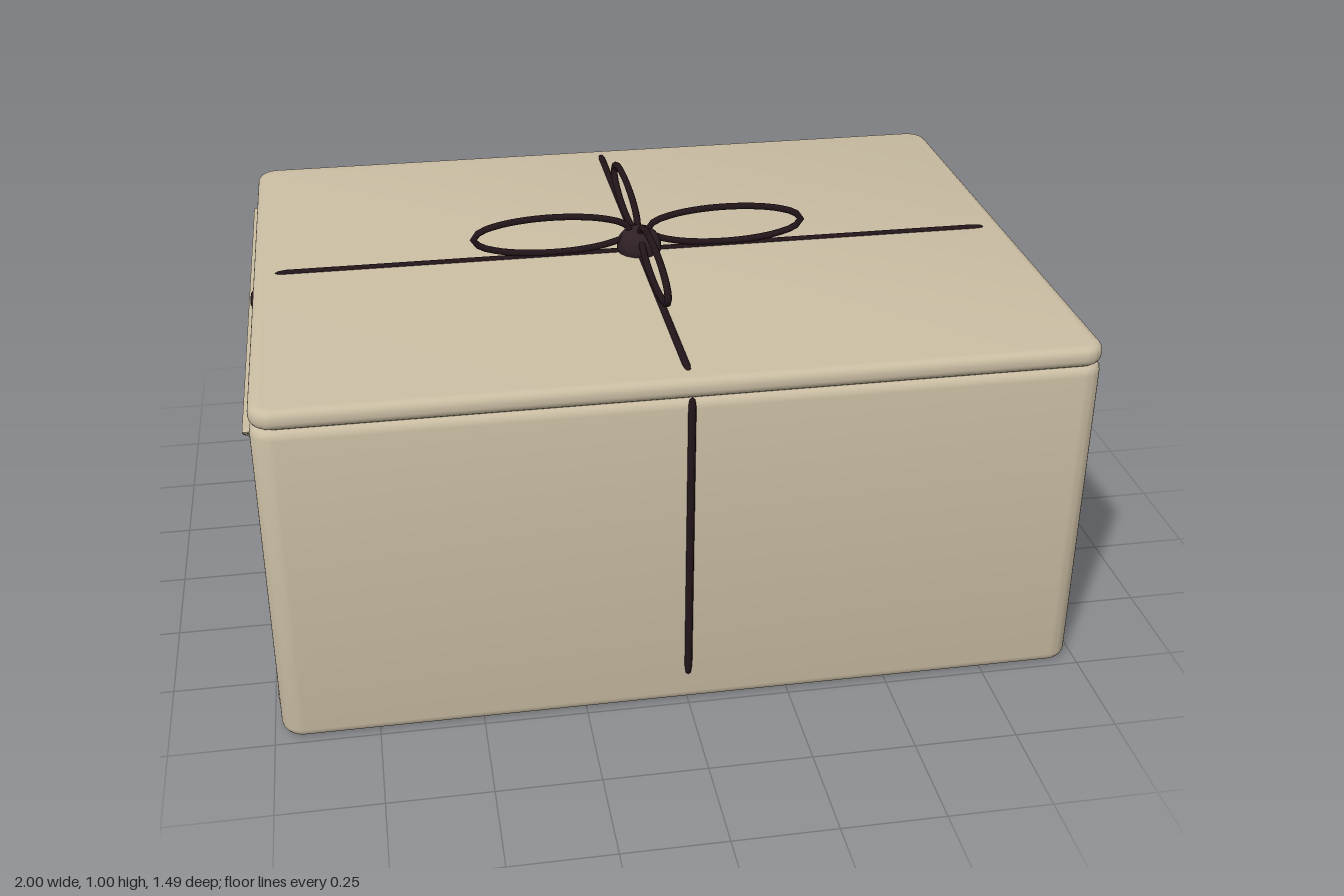
import * as THREE from 'three';
import { toCreasedNormals } from 'three/addons/utils/BufferGeometryUtils.js';

export function createModel() {
  const root = new THREE.Group();
  root.name = 'wrappedParcel';

  const mat = (name, color) => {
    const m = new THREE.MeshStandardMaterial({ color });
    m.name = name;
    return m;
  };
  const paper = mat('kraftPaper', 0xcabda3);
  const twine = mat('darkTwine', 0x22151a);
  const knotColor = mat('knotTwine', 0x2e2024);

  const add = (name, geometry, material) => {
    const mesh = new THREE.Mesh(geometry, material);
    mesh.name = name;
    root.add(mesh);
    return mesh;
  };

  // Slab with rounded corners in plan and rounded top and bottom edges
  const slab = (w, d, y0, y1, r, bevel) => {
    const x = w / 2 - bevel, z = d / 2 - bevel, c = r - bevel;
    const s = new THREE.Shape();
    s.moveTo(-x + c, -z);
    s.lineTo(x - c, -z);
    s.absarc(x - c, -z + c, c, -Math.PI / 2, 0);
    s.lineTo(x, z - c);
    s.absarc(x - c, z - c, c, 0, Math.PI / 2);
    s.lineTo(-x + c, z);
    s.absarc(-x + c, z - c, c, Math.PI / 2, Math.PI);
    s.lineTo(-x, -z + c);
    s.absarc(-x + c, -z + c, c, Math.PI, Math.PI * 1.5);
    const g = new THREE.ExtrudeGeometry(s, {
      depth: y1 - y0 - 2 * bevel, curveSegments: 6,
      bevelSize: bevel, bevelThickness: bevel, bevelSegments: 4,
    });
    g.rotateX(-Math.PI / 2).translate(0, y0 + bevel, 0);
    return toCreasedNormals(g, 0.7);
  };

  // Box and lid
  add('boxBody', slab(1.965, 1.475, 0, 0.84, 0.055, 0.025), paper);
  add('lid', slab(1.965, 1.475, 0.837, 0.887, 0.055, 0.02), paper);

  // Triangular end flap with softened corners, lying in the z-y plane
  const flap = (points, thickness) => {
    const v = points.map(([a, b]) => new THREE.Vector2(a, b));
    const s = new THREE.Shape();
    v.forEach((p, i) => {
      const prev = v[(i + 2) % 3], next = v[(i + 1) % 3];
      const a = p.clone().add(prev.clone().sub(p).setLength(0.03));
      const b = p.clone().add(next.clone().sub(p).setLength(0.03));
      if (i === 0) s.moveTo(a.x, a.y); else s.lineTo(a.x, a.y);
      s.quadraticCurveTo(p.x, p.y, b.x, b.y);
    });
    s.closePath();
    return new THREE.ExtrudeGeometry(s, { depth: thickness, bevelEnabled: false, curveSegments: 4 })
      .rotateY(Math.PI / 2);
  };
  for (const side of [1, -1]) {
    const name = side > 0 ? 'left' : 'right';
    const parts = [
      ['UpperFlap', [[-0.67, 0.804], [0, 0.41], [0.67, 0.804]], 0.02],
      ['LowerFlap', [[-0.67, 0.05], [0.67, 0.05], [0, 0.51]], 0.007],
    ];
    for (const [part, points, thickness] of parts) {
      const mesh = add(name + part, flap(points, thickness), paper);
      mesh.position.x = side * 0.98;
      if (side < 0) mesh.rotation.y = Math.PI;
    }
  }

  // Twine with tapered ends between two points
  const string = (name, a, b, r = 0.01) => {
    const from = new THREE.Vector3(...a), to = new THREE.Vector3(...b);
    const h = from.distanceTo(to) / 2;
    const profile = [[0, -h], [r * 0.7, -h + 0.008], [r, -h + 0.03],
      [r, h - 0.03], [r * 0.7, h - 0.008], [0, h]].map(p => new THREE.Vector2(...p));
    const mesh = add(name, new THREE.LatheGeometry(profile, 8), twine);
    mesh.position.copy(from).add(to).multiplyScalar(0.5);
    mesh.quaternion.setFromUnitVectors(new THREE.Vector3(0, 1, 0), to.sub(from).normalize());
  };
  string('topStringAcross', [-0.93, 0.885, 0], [0.93, 0.885, 0]);
  string('topStringAlong', [0, 0.885, -0.69], [0, 0.885, 0.69]);
  for (const side of [1, -1]) {
    string(side > 0 ? 'frontString' : 'backString',
      [0, 0.075, side * 0.736], [0, 0.845, side * 0.736]);
    string(side > 0 ? 'leftString' : 'rightString',
      [side * 0.985, 0.085, 0], [side * 0.985, 0.845, 0]);
  }

  // Four upright bow loops
  const loopPoints = [];
  for (let i = 0; i < 16; i++) {
    const t = (i / 16) * Math.PI * 2;
    loopPoints.push(new THREE.Vector3(0.225 + 0.202 * Math.cos(t), 0.943 + 0.048 * Math.sin(t), 0));
  }
  const loopCurve = new THREE.CatmullRomCurve3(loopPoints, true);
  const loopGeometry = new THREE.TubeGeometry(loopCurve, 40, 0.009, 8, true);
  for (let i = 0; i < 4; i++) add('bowLoop' + (i + 1), loopGeometry, twine).rotation.y = i * Math.PI / 2;

  // Knot
  const knot = add('knot', new THREE.SphereGeometry(0.058, 16, 10), knotColor);
  knot.position.y = 0.9;
  knot.scale.y = 0.9;

  return root;
}
